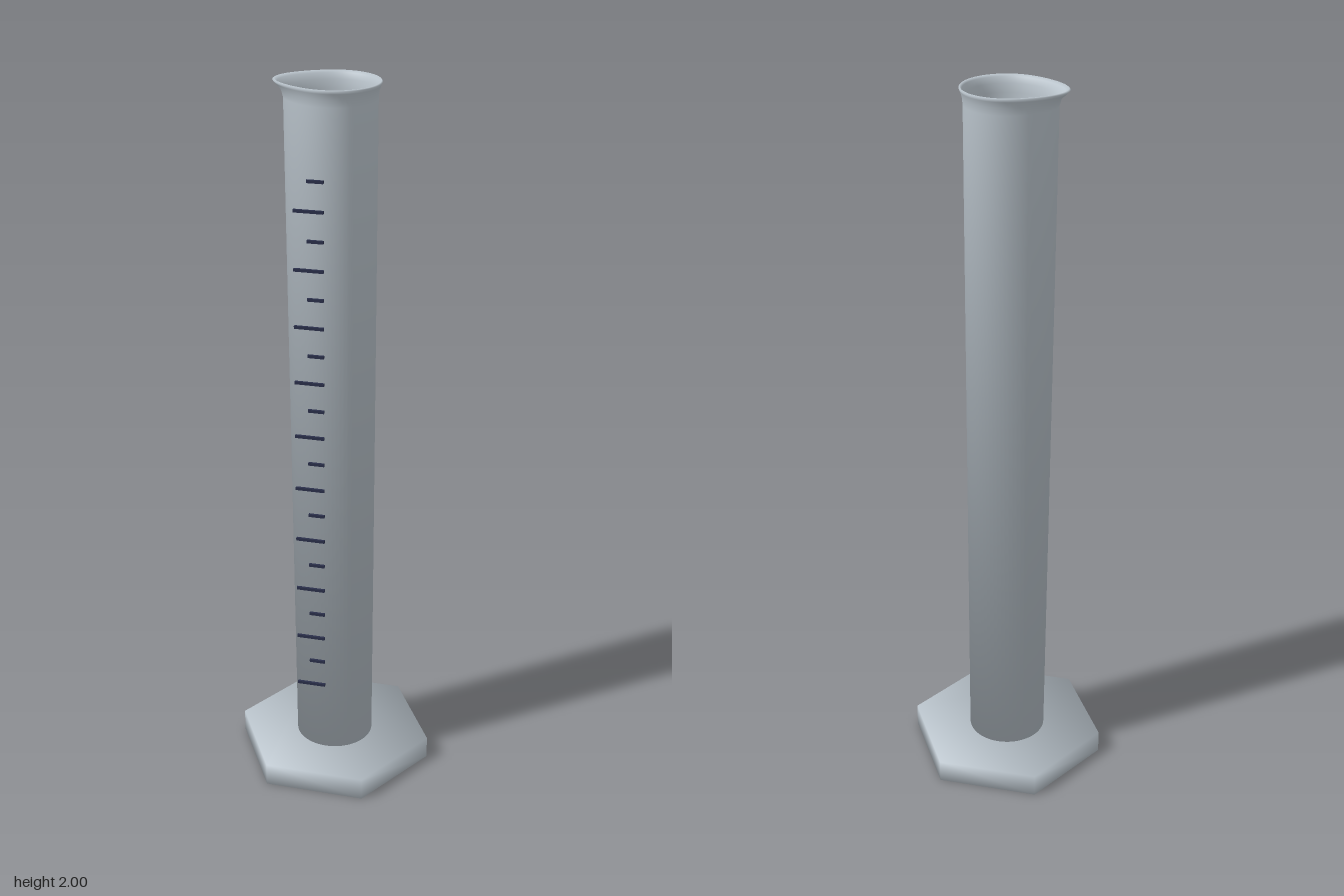
import * as THREE from 'three';
import { mergeVertices } from 'three/addons/utils/BufferGeometryUtils.js';

const glass = new THREE.MeshStandardMaterial({ color: 0xbcc6ce });
glass.name = 'pale grey';
const teal = new THREE.MeshStandardMaterial({ color: 0x40b8b0 });
teal.name = 'teal liquid';
const ink = new THREE.MeshStandardMaterial({ color: 0x2a2f4a });
ink.name = 'dark navy';

// Welds a geometry and gives it soft normals, weighted by corner angle.
function soften(source) {
  source.deleteAttribute('normal');
  source.deleteAttribute('uv');
  const geo = mergeVertices(source, 1e-4);
  const pos = geo.attributes.position;
  const sums = Array.from({ length: pos.count }, () => new THREE.Vector3());
  for (let i = 0; i < geo.index.count; i += 3) {
    const ids = [0, 1, 2].map((k) => geo.index.getX(i + k));
    const p = ids.map((id) => new THREE.Vector3().fromBufferAttribute(pos, id));
    const face = new THREE.Triangle(...p).getNormal(new THREE.Vector3());
    if (face.lengthSq() < 0.5) continue;
    for (let k = 0; k < 3; k++) {
      const a = p[(k + 1) % 3].clone().sub(p[k]);
      const b = p[(k + 2) % 3].clone().sub(p[k]);
      sums[ids[k]].addScaledVector(face, a.angleTo(b));
    }
  }
  const normals = sums.flatMap((n) => n.normalize().toArray());
  geo.setAttribute('normal', new THREE.Float32BufferAttribute(normals, 3));
  return geo;
}

// Upright soft-shaded prism standing between two heights.
function prism(sides, radius, y0, y1) {
  const points = Array.from({ length: sides }, (_, i) => {
    const a = (i / sides) * Math.PI * 2;
    return new THREE.Vector2(radius * Math.cos(a), radius * Math.sin(a));
  });
  const geo = new THREE.ExtrudeGeometry(new THREE.Shape(points), { depth: y1 - y0, bevelEnabled: false });
  geo.rotateX(-Math.PI / 2);
  geo.translate(0, y0, 0);
  return soften(geo);
}

// Double-walled tube, pulled out towards -x to form the pouring spout.
function tubeGeometry() {
  // radius, height, spout pull
  const profile = [
    [0, 0.05, 0], [0.11, 0.05, 0],
    [0.11, 1.955, 0.022], [0.112, 1.975, 0.026], [0.117, 1.99, 0.036],
    [0.12, 1.997, 0.04], [0.117, 2, 0.039], [0.112, 1.994, 0.035],
    [0.107, 1.978, 0.026], [0.104, 1.955, 0.021],
    [0.102, 0.07, 0], [0, 0.07, 0],
  ];
  const rows = profile.length;
  const geo = new THREE.LatheGeometry(profile.map(([r, y]) => new THREE.Vector2(r, y)), 64);
  const pos = geo.attributes.position;
  for (let i = 0; i < pos.count; i++) {
    const [r, , pull] = profile[i % rows];
    const toward = r > 0 ? Math.max(0, -pos.getX(i) / r) : 0;
    pos.setX(i, pos.getX(i) - pull * toward ** 3);
  }
  return soften(geo);
}

export function createModel() {
  const model = new THREE.Group();
  model.name = 'graduatedCylinder';
  const add = (name, geo, material, parent = model) => {
    const mesh = new THREE.Mesh(geo, material);
    mesh.name = name;
    parent.add(mesh);
    return mesh;
  };

  add('hexagonalBase', prism(6, 0.282, 0, 0.065), glass);
  add('spoutedTube', tubeGeometry(), glass);
  add('liquid', prism(48, 0.1, 0.075, 1.2), teal);

  // Scale marks: long and short alternate, all ending at the centre line
  const marks = new THREE.Group();
  marks.name = 'scaleMarks';
  model.add(marks);
  for (let i = 0; i < 20; i++) {
    const length = i % 2 ? 0.044 : 0.08;
    const mark = add(i % 2 ? 'shortMark' : 'longMark', new THREE.BoxGeometry(length, 0.008, 0.007), ink, marks);
    mark.position.set(-length / 2, 0.28 + i * 0.0784, 0.1145);
  }
  return model;
}
